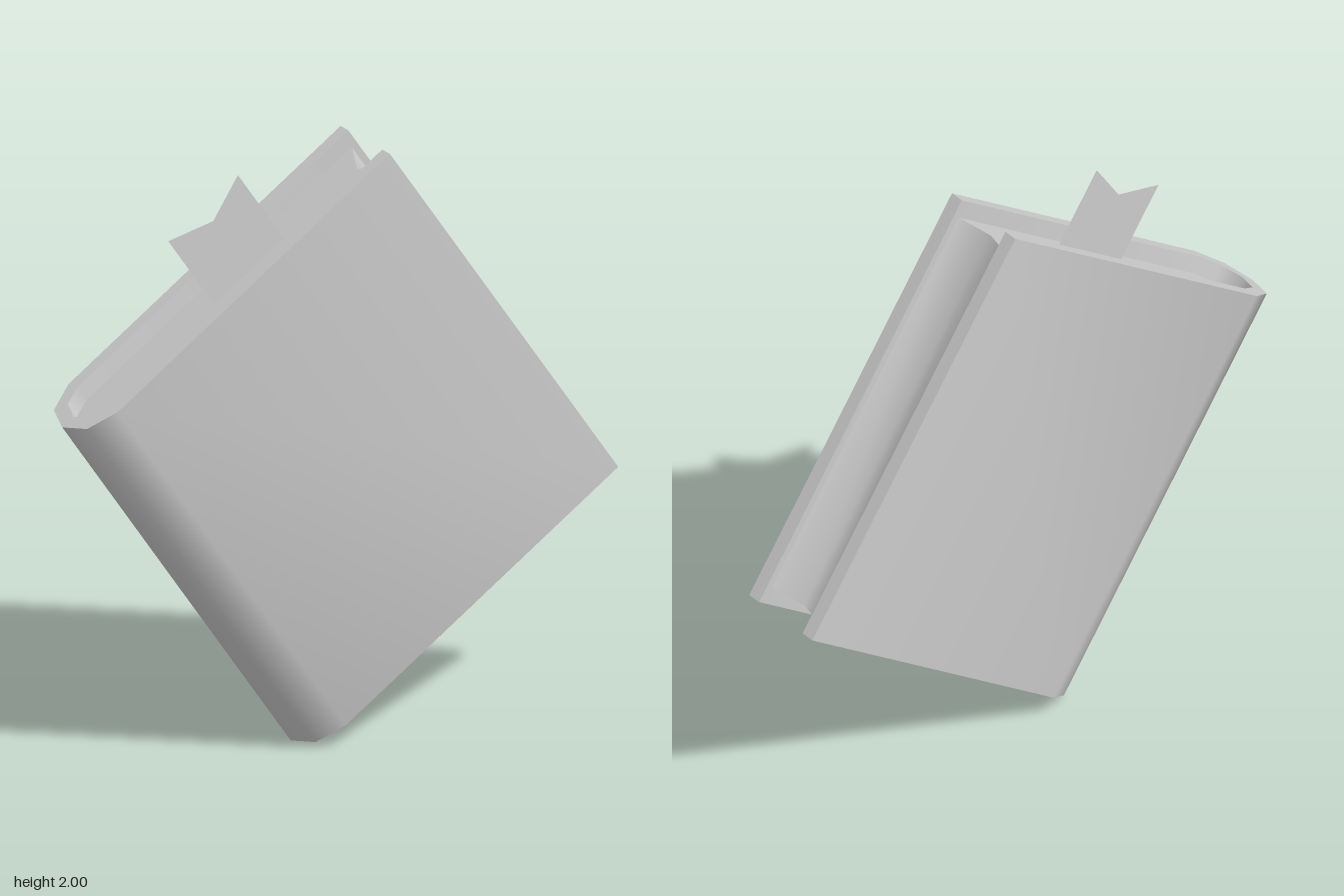
import * as THREE from 'three';
import { toCreasedNormals } from 'three/addons/utils/BufferGeometryUtils.js';

const W = 1.374, H = 1.479; // cover width and height
const TILT = THREE.MathUtils.degToRad(35);

// Mirror a half profile (x, z >= 0, ordered away from the spine) across z = 0
const mirror = (half) => half.filter(([, z]) => z > 0).map(([x, z]) => [x, -z]).reverse();
const toShape = (pts) => new THREE.Shape(pts.map(([x, z]) => new THREE.Vector2(x, z)));

// Extrude a horizontal profile upward, smoothing the rounded spine only
function upright(pts, y0, y1) {
  const geo = new THREE.ExtrudeGeometry(toShape(pts), { depth: y1 - y0, bevelEnabled: false });
  geo.rotateX(-Math.PI / 2).translate(0, y0, 0);
  return toCreasedNormals(geo, THREE.MathUtils.degToRad(60));
}

export function createModel() {
  const grey = new THREE.MeshStandardMaterial({ color: 0xcccccc });
  grey.name = 'light grey';
  const greyTwoSided = new THREE.MeshStandardMaterial({ color: 0xcccccc, side: THREE.DoubleSide });
  greyTwoSided.name = 'light grey ribbon';

  const book = new THREE.Group();
  book.name = 'book';
  const add = (name, geo, mat = grey) => {
    const mesh = new THREE.Mesh(geo, mat);
    mesh.name = name;
    book.add(mesh);
  };

  // Cover: two boards joined by a faceted round spine
  const outer = [[0, 0], [0.037, 0.108], [0.14, 0.16], [W, 0.16]];
  const inner = [[0.05, 0], [0.08, 0.078], [0.15, 0.11], [W, 0.11]];
  add('cover', upright([...mirror(outer), ...outer, ...[...inner].reverse(), ...mirror(inner).reverse()], 0, H));

  // Page block: fills the spine, with a hollow fore edge
  const pages = [[0.05, 0], [0.08, 0.078], [0.15, 0.11], [1.35, 0.11]];
  add('pages', upright([...mirror(pages), ...pages, [1.295, 0]], 0.059, 1.42));

  // Ribbon bookmark with a notched end
  const ribbon = toShape([[0.648, 1.42], [0.964, 1.42], [0.964, 1.718], [0.808, 1.655], [0.648, 1.718]]);
  add('bookmark', new THREE.ShapeGeometry(ribbon), greyTwoSided);

  // Lean the book onto its lower spine corner
  book.children.forEach((mesh) => mesh.geometry.translate(-W / 2, -H / 2, 0));
  book.rotation.z = TILT;
  book.position.y = 1;

  const model = new THREE.Group();
  model.name = 'tiltedBook';
  model.add(book);
  return model;
}
